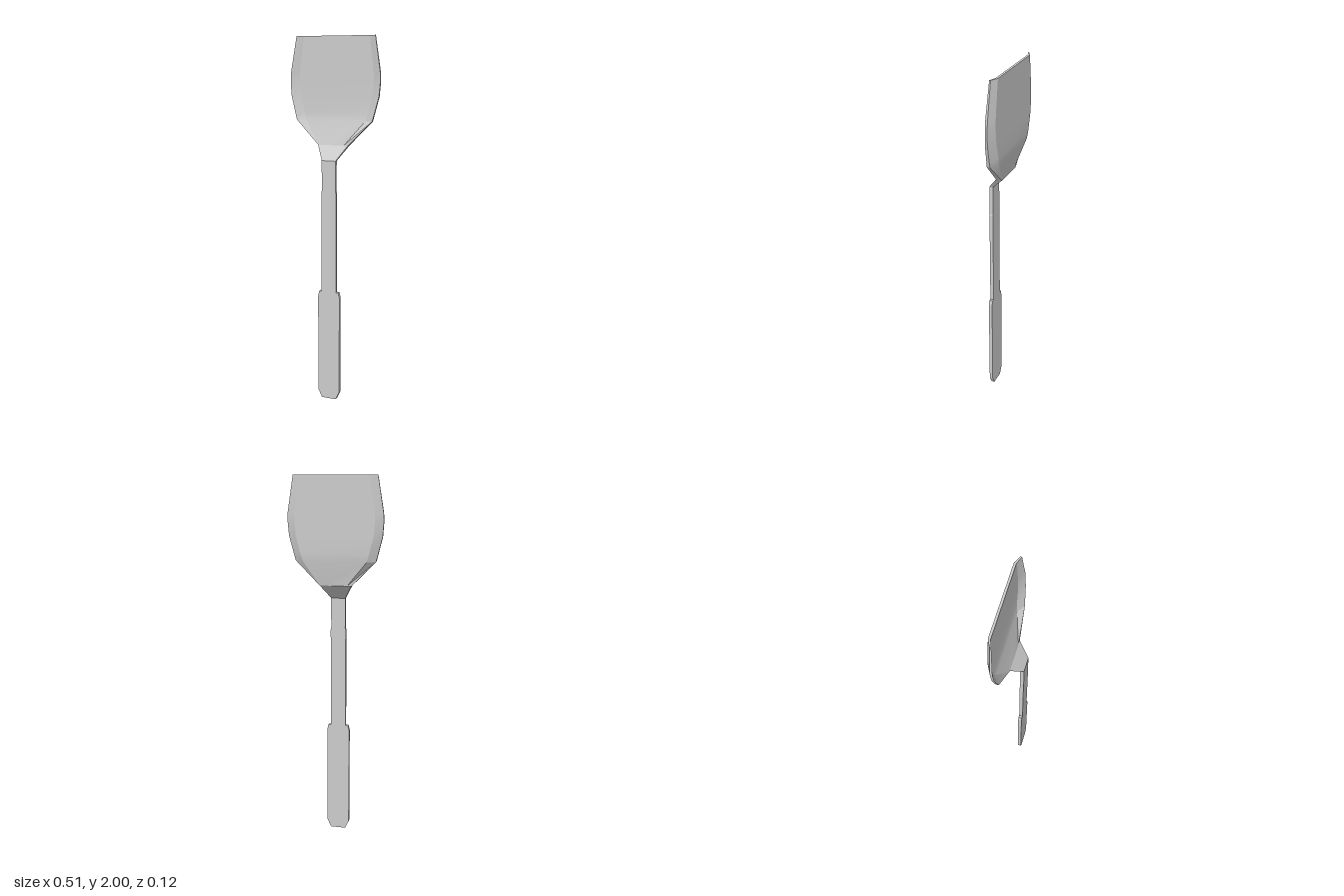
import * as THREE from 'three';
import { toCreasedNormals } from 'three/addons/utils/BufferGeometryUtils.js';

const material = new THREE.MeshStandardMaterial({ color: 0xcccccc });

// Skin closed rings of equal length, with a fan cap on both ends
function loft(rings) {
  const n = rings[0].length, index = [];
  for (let r = 0; r < rings.length - 1; r++) {
    for (let i = 0; i < n; i++) {
      const a = r * n + i, b = r * n + (i + 1) % n;
      index.push(a, b, b + n, a, b + n, a + n);
    }
  }
  // caps run as strips between the front and back halves of the ring
  const last = (rings.length - 1) * n;
  for (let i = 0; i < n / 2 - 1; i++) {
    const j = n - 1 - i;
    index.push(i, j, j - 1, i, j - 1, i + 1);
    index.push(last + i, last + j - 1, last + j, last + i, last + i + 1, last + j - 1);
  }
  const geo = new THREE.BufferGeometry();
  geo.setAttribute('position', new THREE.Float32BufferAttribute(rings.flat(2), 3));
  geo.setIndex(index);
  return toCreasedNormals(geo, 0.3);
}

// Flat handle with a wider grip and chamfered end
function handleGeometry() {
  const half = [[0.042, 0], [0.063, 0.045], [0.063, 0.6], [0.056, 0.63], [0.042, 0.63], [0.042, 1.18], [0.039, 1.19], [0.039, 1.353]];
  const outline = [...half, ...half.map(([x, y]) => [-x, y]).reverse()];
  const shape = new THREE.Shape(outline.map(([x, y]) => new THREE.Vector2(x, y)));
  const geo = new THREE.ExtrudeGeometry(shape, { depth: 0.02, bevelEnabled: false });
  geo.translate(0, 0, 0.04);
  return geo;
}

// Dished blade: y, half width, flat half width, then z of
// flat front, flat back, rim front, rim back
function bladeGeometry() {
  const rows = [
    [1.353, 0.039, 0.028, 0.06, 0.04, 0.06, 0.04],
    [1.43, 0.085, 0.062, 0, -0.033, 0, -0.033],
    [1.56, 0.215, 0.17, -0.04, -0.057, -0.013, -0.03],
    [1.6, 0.226, 0.182, -0.045, -0.06, -0.016, -0.031],
    [1.69, 0.249, 0.205, -0.047, -0.06, -0.021, -0.034],
    [1.77, 0.255, 0.212, -0.048, -0.06, -0.025, -0.037],
    [1.81, 0.253, 0.211, -0.048, -0.06, -0.026, -0.038],
    [2, 0.222, 0.185, -0.048, -0.06, -0.034, -0.041],
  ];
  return loft(rows.map(([y, w, f, zf, zb, rf, rb]) => [
    [-w, y, rb], [-f, y, zb], [f, y, zb], [w, y, rb],
    [w, y, rf], [f, y, zf], [-f, y, zf], [-w, y, rf],
  ].reverse()));
}

export function createModel() {
  const model = new THREE.Group();
  model.name = 'spatula';
  const add = (name, geometry) => {
    const mesh = new THREE.Mesh(geometry, material);
    mesh.name = name;
    model.add(mesh);
  };
  add('handle', handleGeometry());
  add('blade', bladeGeometry());
  return model;
}
